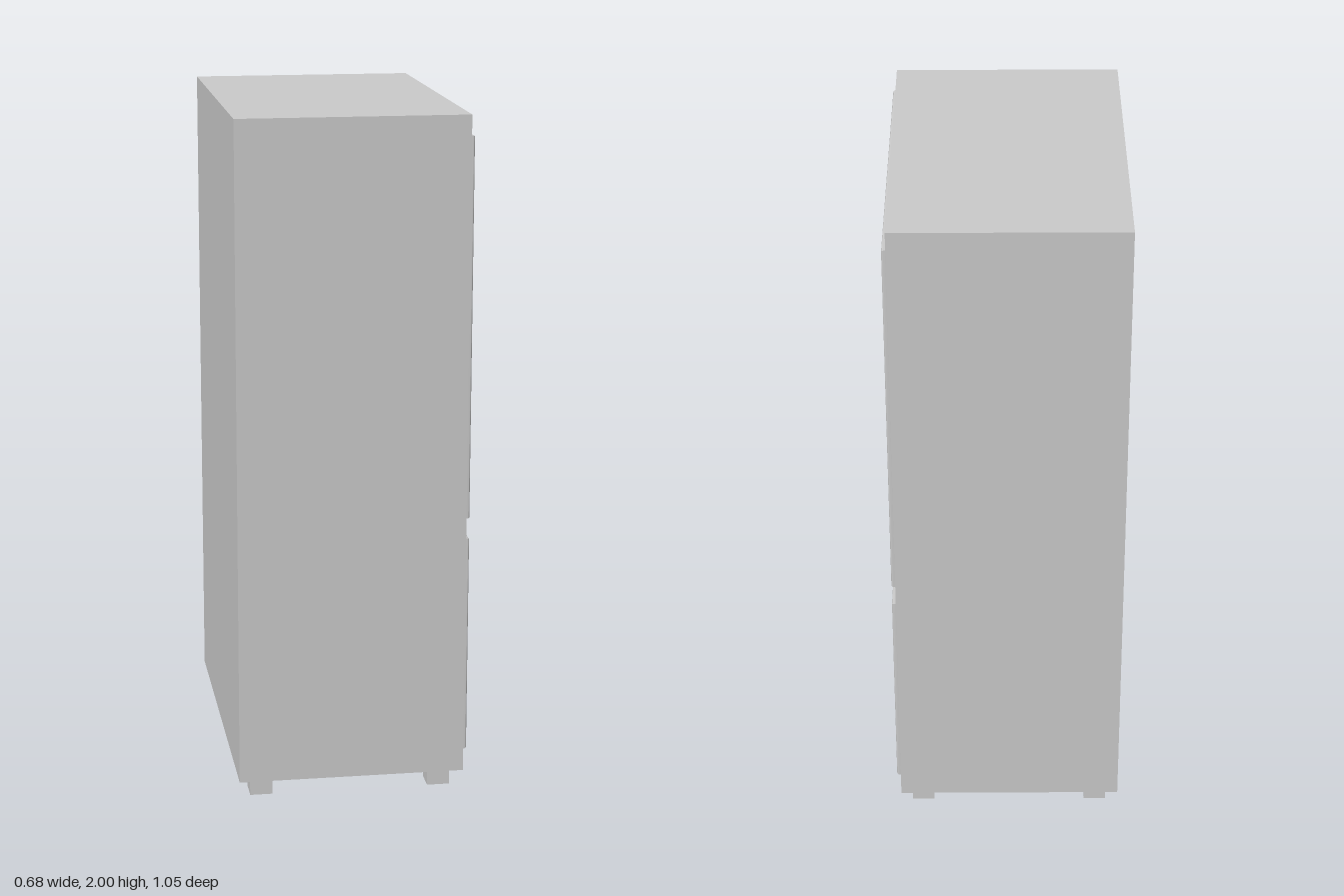
import * as THREE from 'three';
import { toCreasedNormals } from 'three/addons/utils/BufferGeometryUtils.js';

const material = new THREE.MeshStandardMaterial({ color: 0xcccccc });

// Openings of the two compartments, as bottom and top heights
const OPENINGS = [
  { name: 'lower', y0: 0.14, y1: 0.745, sealY0: 0.12, sealY1: 0.77 },
  { name: 'upper', y0: 0.855, y1: 1.92, sealY0: 0.83, sealY1: 1.94 },
];
const HALF = 0.485; // half width of the openings
const BACK = -0.23; // back wall of the compartments
const FACE = 0.325; // open face of the cabinet

function rectPoints(w, y0, y1) {
  return [[-w, y0], [w, y0], [w, y1], [-w, y1]].map(([a, b]) => new THREE.Vector2(a, b));
}

function add(parent, name, geometry, x = 0, y = 0, z = 0) {
  const mesh = new THREE.Mesh(geometry, material);
  mesh.name = name;
  mesh.position.set(x, y, z);
  parent.add(mesh);
  return mesh;
}

// Box given by its limits on each axis
function box(parent, name, [x0, x1], [y0, y1], [z0, z1]) {
  return add(parent, name, new THREE.BoxGeometry(x1 - x0, y1 - y0, z1 - z0),
    (x0 + x1) / 2, (y0 + y1) / 2, (z0 + z1) / 2);
}

// Side profile in x and y, extruded from z0 to z1 with a small rounded edge
function slab(parent, name, shape, z0, z1, bevel) {
  const g = new THREE.ExtrudeGeometry(shape, {
    depth: z1 - z0 - 2 * bevel, bevelEnabled: bevel > 0, bevelSize: bevel,
    bevelThickness: bevel, bevelOffset: -bevel, bevelSegments: 3, curveSegments: 6,
  });
  return add(parent, name, toCreasedNormals(g, 0.7), 0, 0, z0 + bevel);
}

// Curved front of a drawer, moved back by inset
function binShape(inset) {
  const s = new THREE.Shape();
  s.moveTo(-0.2, 0.857);
  s.lineTo(0.135 - inset, 0.857);
  s.splineThru([[0.156, 0.872], [0.158, 0.9], [0.147, 0.95], [0.143, 1.0],
    [0.149, 1.04], [0.143, 1.068], [0.12, 1.082]].map(([x, y]) => new THREE.Vector2(x - inset, y)));
  s.lineTo(-0.2, 1.082);
  s.closePath();
  return s;
}

function addCabinet(model) {
  const shape = new THREE.Shape(rectPoints(0.525, 0.057, 2));
  for (const o of OPENINGS) shape.holes.push(new THREE.Path(rectPoints(HALF, o.y0, o.y1)));
  const shell = new THREE.ExtrudeGeometry(shape, { depth: FACE - BACK, bevelEnabled: false });
  shell.rotateY(Math.PI / 2);
  add(model, 'cabinetShell', shell, BACK);
  box(model, 'cabinetBack', [-0.34, BACK], [0.057, 2], [-0.525, 0.525]);

  // Raised door seals around the openings
  for (const o of OPENINGS) {
    const ring = new THREE.Shape(rectPoints(0.512, o.sealY0, o.sealY1));
    ring.holes.push(new THREE.Path(rectPoints(HALF, o.y0, o.y1)));
    const g = new THREE.ExtrudeGeometry(ring, {
      depth: 0.004, bevelThickness: 0.006, bevelSize: 0.005, bevelOffset: -0.005, bevelSegments: 3,
    });
    g.rotateY(Math.PI / 2);
    add(model, o.name + 'Seal', toCreasedNormals(g, 0.8), FACE + 0.002);
  }

  for (const x of [-0.272, 0.258]) {
    for (const z of [-0.453, 0.453]) {
      box(model, 'foot', [x - 0.033, x + 0.033], [0, 0.058], [z - 0.033, z + 0.033]);
    }
  }
}

// Ceiling lamp with sloping sides
function addLamp(model) {
  const g = new THREE.BoxGeometry(0.225, 0.02, 0.09);
  const p = g.attributes.position;
  for (let i = 0; i < p.count; i++) {
    if (p.getY(i) < 0) p.setXYZ(i, p.getX(i) * 0.9, p.getY(i), p.getZ(i) * 0.78);
  }
  g.computeVertexNormals();
  add(model, 'lamp', g, 0.1, 1.91, 0);
}

function addShelves(model) {
  const RAILS = [-0.464, 0.004, 0.464];
  for (const z of RAILS) box(model, 'shelfRail', [BACK, BACK + 0.018], [1.195, 1.715], [z - 0.014, z + 0.014]);

  for (const y of [1.635, 1.435]) {
    for (const [z0, z1] of [[-0.478, -0.004], [0.004, 0.478]]) {
      // Plate with rounded front corners
      const r = 0.02;
      const s = new THREE.Shape();
      s.moveTo(-0.205, z0);
      s.lineTo(0.125 - r, z0);
      s.quadraticCurveTo(0.125, z0, 0.125, z0 + r);
      s.lineTo(0.125, z1 - r);
      s.quadraticCurveTo(0.125, z1, 0.125 - r, z1);
      s.lineTo(-0.205, z1);
      s.closePath();
      const g = new THREE.ExtrudeGeometry(s, { depth: 0.01, bevelEnabled: false, curveSegments: 6 });
      g.rotateX(Math.PI / 2);
      add(model, 'shelfPlate', toCreasedNormals(g, 0.6), 0, y + 0.004, 0);
    }
    // Tapered arms hooked into the rails
    const arm = new THREE.Shape([[-0.22, y - 0.075], [-0.19, y - 0.075], [-0.12, y - 0.035],
      [0.09, y - 0.018], [0.1, y - 0.006], [-0.22, y - 0.006]].map(([a, b]) => new THREE.Vector2(a, b)));
    for (const z of [-0.466, -0.002, 0.01, 0.466]) slab(model, 'shelfArm', arm, z - 0.005, z + 0.005, 0);
  }
}

function addDrawers(model) {
  for (const [z0, z1] of [[-0.476, -0.004], [0.004, 0.476]]) {
    const drawer = new THREE.Group();
    drawer.name = 'drawer';
    model.add(drawer);
    slab(drawer, 'drawerBody', binShape(0.008), z0 + 0.006, z1 - 0.006, 0.006);
    for (const z of [z0, z1 - 0.014]) slab(drawer, 'drawerCheek', binShape(0), z, z + 0.014, 0.004);
    for (const z of [z0 + 0.035, z1 - 0.035]) {
      box(drawer, 'drawerRidge', [0.12, 0.144], [0.94, 0.99], [z - 0.002, z + 0.002]);
    }
  }
  // Cover plate above both drawers
  box(model, 'drawerCover', [BACK, 0.122], [1.08, 1.091], [-0.48, 0.48]);
}

export function createModel() {
  const model = new THREE.Group();
  model.name = 'refrigeratorCabinet';
  addCabinet(model);
  addLamp(model);
  addShelves(model);
  addDrawers(model);
  return model;
}
